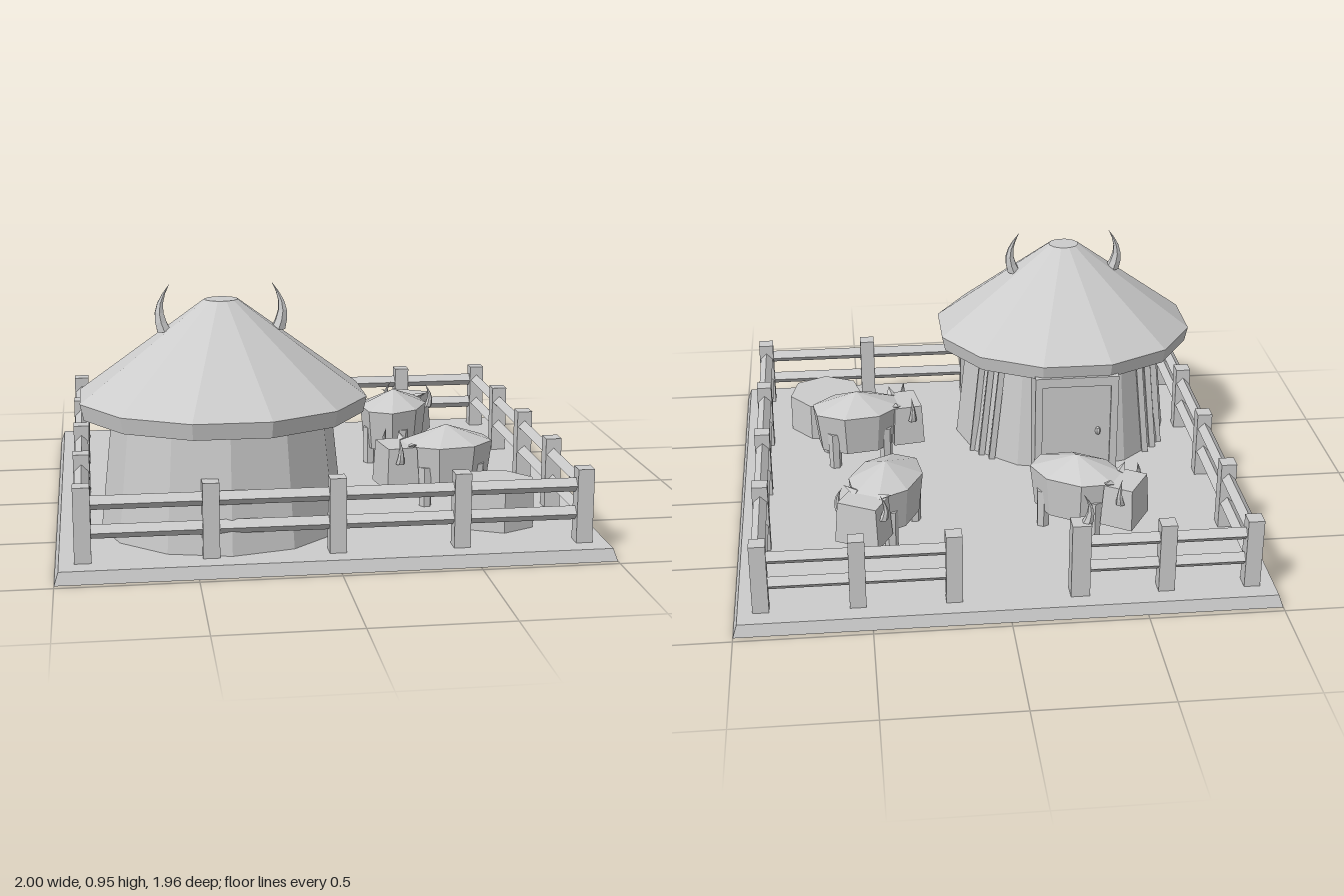
import * as THREE from 'three';

export function createModel() {
  const model = new THREE.Group();
  model.name = 'farmyard';
  const stone = new THREE.MeshStandardMaterial({ color: 0xcccccc, flatShading: true });
  stone.name = 'plain grey';

  const add = (parent, name, geo, x = 0, y = 0, z = 0) => {
    const m = new THREE.Mesh(geo, stone);
    m.name = name;
    m.position.set(x, y, z);
    parent.add(m);
    return m;
  };
  const group = (name, x, y, z) => {
    const g = new THREE.Group();
    g.name = name;
    g.position.set(x, y, z);
    model.add(g);
    return g;
  };
  // box whose top is scaled against its bottom
  const taperedBox = (w, h, d, sx, sz) => {
    const g = new THREE.BoxGeometry(w, h, d);
    const p = g.attributes.position;
    for (let i = 0; i < p.count; i++)
      if (p.getY(i) > 0) p.setXYZ(i, p.getX(i) * sx, p.getY(i), p.getZ(i) * sz);
    return g;
  };
  // cone bowed outwards along side (+1 or -1), tip leaning back in
  const hornGeometry = (r, h, side) => {
    const g = new THREE.ConeGeometry(r, h, 6, 5);
    g.translate(0, h / 2, 0);
    const p = g.attributes.position;
    for (let i = 0; i < p.count; i++) {
      const t = p.getY(i) / h;
      p.setX(i, p.getX(i) + side * h * (0.13 * Math.sin(Math.PI * t) - 0.12 * t * t));
    }
    g.computeVertexNormals();
    return g;
  };

  // Ground slab with a slight bevel
  add(model, 'ground', taperedBox(2, 0.045, 1.955, 0.985, 0.985), 0, 0.0225, 0);

  // Fence: posts joined by two diamond-section rails
  const fence = group('fence', 0, 0, 0);
  const post = (x, z, w = 0.06, h = 0.32) =>
    add(fence, 'fencePost', new THREE.BoxGeometry(w, h, w), x, h / 2, z);
  const rails = (x1, z1, x2, z2) => {
    const len = Math.hypot(x2 - x1, z2 - z1);
    for (const y of [0.152, 0.257]) {
      const g = new THREE.CylinderGeometry(0.026, 0.026, len, 4);
      if (x1 !== x2) g.rotateZ(Math.PI / 2);
      else g.rotateX(Math.PI / 2);
      add(fence, 'fenceRail', g, (x1 + x2) / 2, y, (z1 + z2) / 2);
    }
  };
  const zFront = 0.857, zBack = -0.865;
  for (const x of [-0.45, 0, 0.45]) post(x, zFront);
  for (const x of [-0.9, 0.9]) {
    for (let i = 0; i < 5; i++) post(x, zFront + (zBack - zFront) * i / 4);
    rails(x, zFront, x, zBack);
  }
  rails(-0.9, zFront, 0.9, zFront);
  // back side leaves a gateway
  post(-0.58, zBack);
  post(-0.26, zBack, 0.07, 0.34);
  post(0.2, zBack);
  post(0.55, zBack);
  rails(-0.9, zBack, -0.26, zBack);
  rails(0.2, zBack, 0.9, zBack);
  const gateHorn = add(fence, 'gateHorn', hornGeometry(0.022, 0.13, -1), -0.28, 0.33, zBack);
  gateHorn.rotation.x = -0.1;

  // Round hut, slightly oval
  const hut = group('hut', -0.375, 0, 0.47);
  const walls = add(hut, 'hutWalls', new THREE.CylinderGeometry(0.406, 0.455, 0.45, 12), 0, 0.265, 0);
  walls.scale.z = 0.89;
  const roofGeo = new THREE.LatheGeometry(
    [[0, 0.485], [0.527, 0.485], [0.54, 0.545], [0.062, 0.897], [0, 0.897]]
      .map(([r, y]) => new THREE.Vector2(r, y)), 12, Math.PI / 12);
  const roof = add(hut, 'hutRoof', roofGeo);
  roof.scale.z = 0.89;
  for (const s of [-1, 1]) {
    const horn = add(hut, 'roofHorn', hornGeometry(0.03, 0.175, s), s * 0.208, 0.78, 0);
    horn.rotation.x = -0.06;
    // leaning wall poles
    for (const z of [-0.19, -0.235, -0.275]) {
      const reach = Math.sqrt(1 - (z / 0.385) ** 2);
      const pole = add(hut, 'wallPole', new THREE.BoxGeometry(0.025, 0.46, 0.022),
        s * (0.425 * reach + 0.008), 0.27, z);
      pole.rotation.z = s * 0.1;
    }
  }
  // Doorway
  for (const s of [-1, 1])
    add(hut, 'doorJamb', new THREE.BoxGeometry(0.03, 0.44, 0.17), s * 0.155, 0.265, -0.383);
  add(hut, 'doorLintel', new THREE.BoxGeometry(0.34, 0.04, 0.17), 0, 0.475, -0.383);
  add(hut, 'door', new THREE.BoxGeometry(0.28, 0.42, 0.14), 0, 0.255, -0.388);
  const handle = add(hut, 'doorHandle', new THREE.SphereGeometry(0.012, 6, 4), -0.09, 0.25, -0.463);
  handle.scale.y = 1.6;

  // Seven-sided hay block
  add(model, 'hayBlock', new THREE.CylinderGeometry(0.157, 0.157, 0.16, 7), 0.64, 0.12, 0.587);

  // Cattle, built facing +z and then turned
  const bodyGeo = new THREE.LatheGeometry(
    [[0, 0.115], [0.118, 0.115], [0.134, 0.28], [0, 0.345]]
      .map(([r, y]) => new THREE.Vector2(r, y)), 8, Math.PI / 8);
  const cow = (x, z, dx, dz) => {
    const g = group('cow', x, 0, z);
    g.rotation.y = Math.atan2(dx, dz);
    add(g, 'cowBody', bodyGeo).scale.z = 1.42;
    add(g, 'cowHead', taperedBox(0.18, 0.165, 0.13, 0.88, 0.88), 0, 0.2, 0.205);
    for (const s of [-1, 1]) {
      // flat ears pointing outwards
      const ear = add(g, 'cowEar', new THREE.ConeGeometry(0.024, 0.06, 4), s * 0.075, 0.29, 0.16);
      ear.rotation.z = -s * 1.2;
      ear.scale.x = 0.5;
      add(g, 'cowHorn', hornGeometry(0.018, 0.1, s), s * 0.09, 0.225, 0.22);
      for (const lz of [-0.108, 0.108])
        add(g, 'cowLeg', new THREE.CylinderGeometry(0.028, 0.024, 0.2, 6), s * 0.07, 0.1, lz);
    }
  };
  cow(-0.32, -0.365, -0.85, -0.52);
  cow(0.42, -0.345, 0.46, -0.89);
  cow(0.515, 0.275, -0.986, 0.16);

  return model;
}
